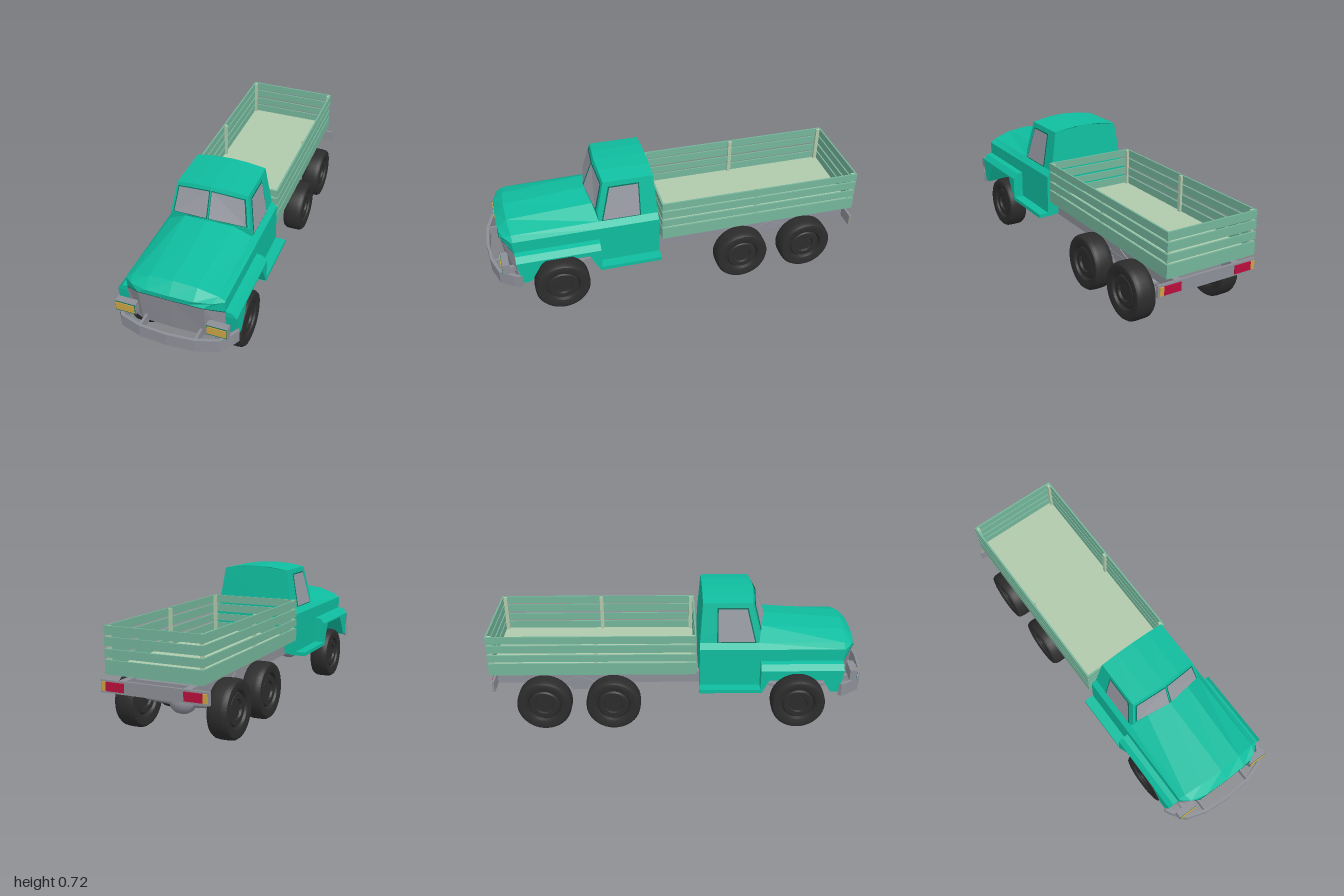
import * as THREE from 'three';
import { toCreasedNormals } from 'three/addons/utils/BufferGeometryUtils.js';

const mat = (name, color) => new THREE.MeshStandardMaterial({ name, color, side: THREE.DoubleSide });
const M = {
  teal: mat('teal paint', 0x0fbd9f),
  grey: mat('chassis grey', 0x8d8f97),
  glass: mat('window glass', 0x999ba4),
  rubber: mat('tyre black', 0x2c2c2c),
  slat: mat('bed green', 0x74b59b),
  floor: mat('pale floor green', 0xb0c9ab),
  amber: mat('amber lamp', 0xc9a343),
  red: mat('red lamp', 0xb80f3c),
  dark: mat('dark frame', 0x0b6f60),
};

export function createModel() {
  const truck = new THREE.Group();
  truck.name = 'truck';

  const add = (name, geo, material) => {
    const m = new THREE.Mesh(geo, material);
    m.name = name;
    truck.add(m);
    return m;
  };
  // Box from its limits
  const box = (name, material, x0, x1, y0, y1, z0, z1) => {
    const g = new THREE.BoxGeometry(x1 - x0, y1 - y0, z1 - z0);
    g.translate((x0 + x1) / 2, (y0 + y1) / 2, (z0 + z1) / 2);
    return add(name, g, material);
  };
  const both = (fn) => [1, -1].forEach((s) => fn(s, s > 0 ? 'left' : 'right'));
  const boxPair = (name, material, x0, x1, ...rest) => both((s, side) =>
    box(`${side} ${name}`, material, Math.min(s * x0, s * x1), Math.max(s * x0, s * x1), ...rest));
  const shapeOf = (pts) => new THREE.Shape(pts.map((p) => new THREE.Vector2(...p)));
  // Side profile given as [z, y], extruded across x
  const profilePair = (name, material, pts, x0, x1) => both((s, side) => {
    const g = new THREE.ExtrudeGeometry(shapeOf(pts), { depth: x1 - x0, bevelEnabled: false });
    g.rotateY(-Math.PI / 2).translate(s > 0 ? x1 : -x0, 0, 0);
    add(`${side} ${name}`, g, material);
  });
  // Faceted sheet stretched over rows of [x, y, z] points
  const skin = (name, material, rows) => {
    const pos = [];
    for (let i = 0; i < rows.length - 1; i++) {
      for (let j = 0; j < rows[i].length - 1; j++) {
        const [a, b, c, d] = [rows[i][j], rows[i][j + 1], rows[i + 1][j + 1], rows[i + 1][j]];
        pos.push(...a, ...d, ...b, ...b, ...d, ...c);
      }
    }
    const g = new THREE.BufferGeometry();
    g.setAttribute('position', new THREE.Float32BufferAttribute(pos, 3));
    g.computeVertexNormals();
    return add(name, g, material);
  };
  // Complete a row given from the left (+x) edge to the centre line
  const mirror = (row) => [...row, ...row.slice(0, -1).reverse().map(([x, y, z]) => [-x, y, z])];

  // Hood, from nose lip to cowl
  skin('hood', M.teal, [
    [[0.25, 0.37, 0.865], [0.25, 0.4, 0.868], [0.165, 0.448, 0.928], [0.08, 0.448, 0.93], [0, 0.448, 0.93]],
    [[0.25, 0.37, 0.865], [0.25, 0.462, 0.872], [0.205, 0.472, 0.91], [0.12, 0.475, 0.932], [0, 0.475, 0.935]],
    [[0.25, 0.37, 0.862], [0.25, 0.465, 0.865], [0.217, 0.487, 0.87], [0.12, 0.518, 0.88], [0, 0.529, 0.885]],
    [[0.25, 0.37, 0.42], [0.25, 0.465, 0.42], [0.222, 0.492, 0.42], [0.13, 0.547, 0.44], [0, 0.563, 0.458]],
  ].map(mirror));
  skin('hood lip', M.dark, [
    [[0.25, 0.402, 0.869], [0.165, 0.45, 0.931], [0, 0.45, 0.934]],
    [[0.25, 0.395, 0.868], [0.165, 0.442, 0.927], [0, 0.442, 0.929]],
  ].map(mirror));

  // Wrapped radiator panel
  skin('grille', M.grey, [
    [[0.25, 0.4, 0.868], [0.165, 0.445, 0.926], [0, 0.445, 0.928]],
    [[0.25, 0.24, 0.86], [0.165, 0.24, 0.895], [0, 0.24, 0.9]],
  ].map(mirror));

  // Front fenders with angular wheel arches
  profilePair('fender', M.teal, [[0.845, 0.24], [0.865, 0.367], [0.43, 0.367], [0.43, 0.24],
    [0.44, 0.24], [0.5, 0.36], [0.73, 0.36], [0.8, 0.24]], 0.185, 0.305);
  both((s, side) => skin(`${side} fender top`, M.teal, [0.865, 0.43].map((z) =>
    [[0.305, 0.367], [0.28, 0.395], [0.24, 0.4], [0.24, 0.367]].map(([x, y]) => [s * x, y, z]))));
  both((s, side) => [0.865, 0.43].forEach((z) => skin(`${side} fender end`, M.teal,
    [[[s * 0.305, 0.367, z], [s * 0.28, 0.395, z]], [[s * 0.24, 0.367, z], [s * 0.24, 0.4, z]]])));
  boxPair('inner wing', M.teal, 0.178, 0.186, 0.24, 0.45, 0.43, 0.862);

  // Cab walls as rings from front centre to back centre
  const sideX = (y) => 0.222 - (y - 0.49) * 0.163;
  const ring = (y, x, yc, zc, zf, zb) => [[0, yc, zc], [x / 2, (y + yc * 3) / 4, (zc + zf) / 2],
    [x, y, zf], [x, y, zb], [0, yc, zb]];
  const cab = [
    ring(0.24, 0.25, 0.24, 0.44, 0.44, 0.11),
    ring(0.465, 0.25, 0.465, 0.43, 0.425, 0.11),
    ring(0.492, sideX(0.492), 0.52, 0.44, 0.422, 0.111),
    ring(0.54, sideX(0.54), 0.565, 0.458, 0.425, 0.114),
    ring(0.705, sideX(0.705), 0.724, 0.397, 0.385, 0.125),
  ];
  both((s, side) => skin(`${side} cab shell`, M.teal, cab.map((r) => r.map(([x, y, z]) => [s * x, y, z]))));
  skin('roof', M.teal, [
    [[0.187, 0.705, 0.385], [0.0935, 0.7193, 0.391], [0, 0.724, 0.397]],
    [[0.187, 0.705, 0.125], [0.0935, 0.7193, 0.125], [0, 0.724, 0.125]],
  ].map(mirror));
  box('cab floor', M.teal, -0.25, 0.25, 0.262, 0.27, 0.112, 0.44);

  // Split windscreen laid on the sloping cab front
  const onFront = (u, t) => [
    u * THREE.MathUtils.lerp(sideX(0.54), 0.187, t),
    THREE.MathUtils.lerp(0.565 - 0.025 * u, 0.724 - 0.019 * u, t),
    THREE.MathUtils.lerp(0.458 - 0.033 * u, 0.397 - 0.012 * u, t),
  ];
  const pane = (s, u0, u1, t0, t1, off) => [t0, t1].map((t) => [u0, u1].map((u) => {
    const [x, y, z] = onFront(u, t);
    return [s * x, y + off * 0.4, z + off];
  }));
  both((s, side) => {
    skin(`${side} windscreen frame`, M.dark, pane(s, 0.015, 0.935, 0.035, 0.9, 0.004));
    skin(`${side} windscreen`, M.glass, pane(s, 0.035, 0.905, 0.06, 0.875, 0.007));
    // Door windows
    const door = (name, material, top, low, zb, zt, zl, off) => skin(`${side} ${name}`, material,
      [[top, zt], [low, zl]].map(([y, zf]) => [zf, zb].map((z) => [s * (sideX(y) + off), y, z])));
    door('door window frame', M.dark, 0.68, 0.493, 0.2, 0.36, 0.406, 0.002);
    door('door window', M.glass, 0.674, 0.498, 0.206, 0.354, 0.399, 0.004);
  });

  // Running boards below the doors
  profilePair('running board', M.teal, [[0.11, 0.235], [0.11, 0.255], [0.43, 0.255], [0.44, 0.235]], 0.22, 0.305);

  // Curved front bumper with braces
  const arc = [[0.315, 0.855], [0.3, 0.885], [0.25, 0.955], [0.14, 0.99], [0, 1]];
  const outer = mirror(arc.map(([x, z]) => [x, z, 0])).map(([x, z]) => [x, z]);
  const inner = outer.map(([x, z]) => [x * 0.965, z - 0.014]).reverse();
  const bumper = new THREE.ExtrudeGeometry(shapeOf([...outer, ...inner]), { depth: 0.07, bevelEnabled: false });
  add('front bumper', bumper.rotateX(Math.PI / 2).translate(0, 0.29, 0), M.grey);
  boxPair('bumper brace', M.grey, 0.135, 0.147, 0.235, 0.285, 0.88, 0.98);

  // Headlights
  boxPair('headlight housing', M.grey, 0.18, 0.286, 0.298, 0.358, 0.9, 0.936);
  boxPair('headlight frame', M.dark, 0.182, 0.284, 0.3, 0.356, 0.936, 0.938);
  boxPair('headlight lens', M.amber, 0.185, 0.281, 0.308, 0.352, 0.938, 0.942);
  boxPair('headlight bracket', M.grey, 0.22, 0.24, 0.27, 0.3, 0.87, 0.93);

  // Chassis ladder
  boxPair('chassis rail', M.grey, 0.15, 0.185, 0.235, 0.298, -0.98, 0.88);
  boxPair('bed bearer', M.grey, 0.15, 0.185, 0.298, 0.327, -0.89, 0.09);
  [0.8, 0.05, -0.2, -0.535, -0.88].forEach((z) =>
    box('crossmember', M.grey, -0.15, 0.15, 0.245, 0.29, z - 0.02, z + 0.02));

  // Leaf springs and rear pivot brackets
  profilePair('front spring', M.grey, [[0.87, 0.24], [0.75, 0.19], [0.64, 0.168], [0.53, 0.19], [0.42, 0.24],
    [0.53, 0.215], [0.64, 0.2], [0.75, 0.215]], 0.15, 0.185);
  profilePair('rear spring', M.grey, [[-0.33, 0.17], [-0.43, 0.235], [-0.535, 0.275], [-0.64, 0.235], [-0.74, 0.17],
    [-0.64, 0.205], [-0.535, 0.235], [-0.43, 0.205]], 0.15, 0.19);
  profilePair('spring pivot', M.grey, [[-0.46, 0.24], [-0.5, 0.195], [-0.57, 0.195], [-0.61, 0.24]], 0.15, 0.192);

  // Wheels and axles
  const half = [[0, 0.03], [0.045, 0.03], [0.05, 0.04], [0.076, 0.04], [0.084, 0.03], [0.092, 0.046],
    [0.122, 0.054], [0.136, 0.05], [0.144, 0.038], [0.146, 0.02]];
  const wheelProfile = [...half.map(([r, a]) => [r, -a]), ...half.slice().reverse()];
  const lathe = (pts, n) => toCreasedNormals(new THREE.LatheGeometry(
    pts.map((p) => new THREE.Vector2(...p)), n).rotateZ(-Math.PI / 2), 0.6);
  const wheelGeo = lathe(wheelProfile, 36);
  const axleGeo = lathe([[0, -0.2], [0.016, -0.2], [0.025, -0.065], [0.045, -0.05], [0.06, -0.025], [0.063, 0],
    [0.06, 0.025], [0.045, 0.05], [0.025, 0.065], [0.016, 0.2], [0, 0.2]], 20);
  [['front', 0.64], ['middle', -0.35], ['rear', -0.72]].forEach(([name, z]) => {
    both((s, side) => add(`${name} ${side} wheel`, wheelGeo, M.rubber).position.set(s * 0.246, 0.15, z));
    add(`${name} axle`, axleGeo, M.grey).position.set(0, 0.158, z);
  });

  // Cargo bed: floor, slatted walls and posts
  const [xl, xr, zr, zf] = [-0.26, 0.245, -1, 0.092];
  const t = 0.009;
  box('bed floor', M.floor, xl + t, xr - t, 0.34, 0.352, zr + t, zf - t);
  box('bed underside', M.grey, xl + t, xr - t, 0.328, 0.34, zr + t, zf - t);
  [[0.326, 0.394], [0.405, 0.444], [0.457, 0.5], [0.51, 0.551]].forEach(([y0, y1]) => {
    box('right bed slat', M.slat, xl, xl + t, y0, y1, zr, zf);
    box('left bed slat', M.slat, xr - t, xr, y0, y1, zr, zf);
    box('front bed slat', M.slat, xl + t, xr - t, y0, y1, zf - t, zf);
    box('tailgate slat', M.slat, xl + t, xr - t, y0, y1, zr, zr + t);
  });
  [zr + t, -0.445, zf - t - 0.02].forEach((z) => {
    box('right bed post', M.floor, xl + t, xl + t + 0.013, 0.35, 0.549, z, z + 0.02);
    box('left bed post', M.floor, xr - t - 0.013, xr - t, 0.35, 0.549, z, z + 0.02);
  });

  // Tail beam with lamps
  box('tail beam', M.grey, -0.28, 0.28, 0.235, 0.297, -0.987, -0.974);
  boxPair('tail lamp', M.red, 0.155, 0.25, 0.245, 0.288, -0.993, -0.986);
  boxPair('rear indicator', M.amber, 0.25, 0.272, 0.245, 0.288, -0.993, -0.986);

  return truck;
}
